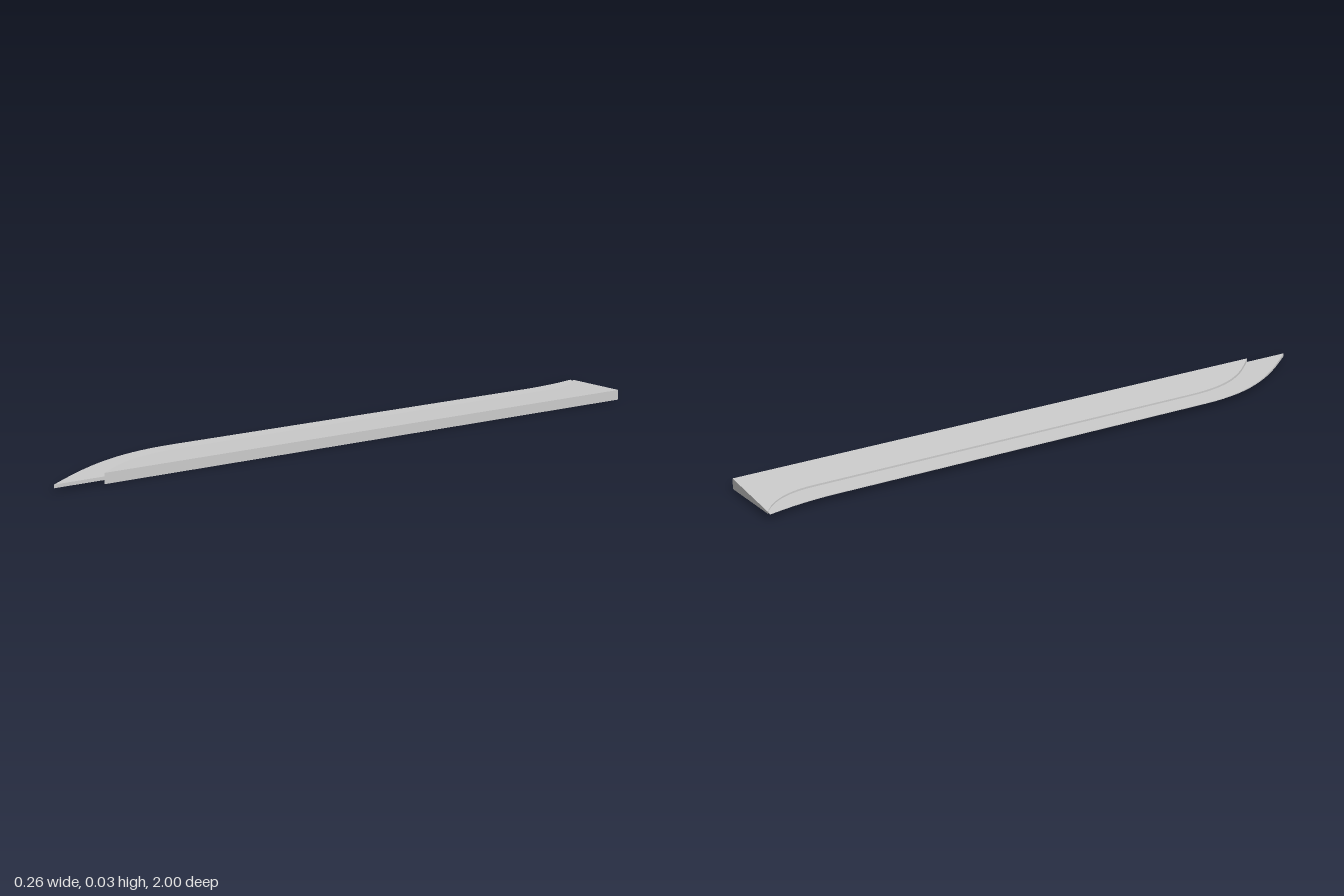
import * as THREE from 'three';

const MID = 0.017; // height of the blade's centre plane

// Plan outline drawn in (x, -z), extruded upward and tapered across x into a wedge.
function wedge(name, shape, halfAt, material) {
  const geo = new THREE.ExtrudeGeometry(shape, { depth: 2, bevelEnabled: false, curveSegments: 16 });
  geo.rotateX(-Math.PI / 2);
  const p = geo.attributes.position;
  for (let i = 0; i < p.count; i++) {
    p.setY(i, MID + (p.getY(i) - 1) * halfAt(p.getX(i)));
  }
  geo.computeVertexNormals();
  const mesh = new THREE.Mesh(geo, material);
  mesh.name = name;
  return mesh;
}

export function createModel() {
  const group = new THREE.Group();
  group.name = 'blade';
  const material = new THREE.MeshStandardMaterial({ color: 0xcccccc });

  // Thick body: straight spine, curved shoulder towards the tip and the heel
  const body = new THREE.Shape();
  body.moveTo(0.128, 0.975);
  body.lineTo(-0.115, 0.999);
  body.quadraticCurveTo(-0.025, 0.93, -0.025, 0.81);
  body.lineTo(-0.025, -0.5);
  body.bezierCurveTo(-0.025, -0.68, 0.05, -0.76, 0.128, -0.85);
  body.closePath();
  group.add(wedge('bladeBody', body, x => 0.003 + (x + 0.115) * 0.0514, material));

  // Thin cutting edge: runs past the body along the side and out to the tip
  const edge = new THREE.Shape();
  edge.moveTo(0.125, 0.97);
  edge.lineTo(-0.11, 0.996);
  edge.lineTo(-0.129, 1);
  edge.quadraticCurveTo(-0.103, 0.9, -0.1, 0.8);
  edge.lineTo(-0.1, -0.5);
  edge.bezierCurveTo(-0.1, -0.7, 0, -0.84, 0.125, -1);
  edge.closePath();
  group.add(wedge('cuttingEdge', edge, x => 0.0004 + (x + 0.129) * 0.018, material));

  return group;
}
